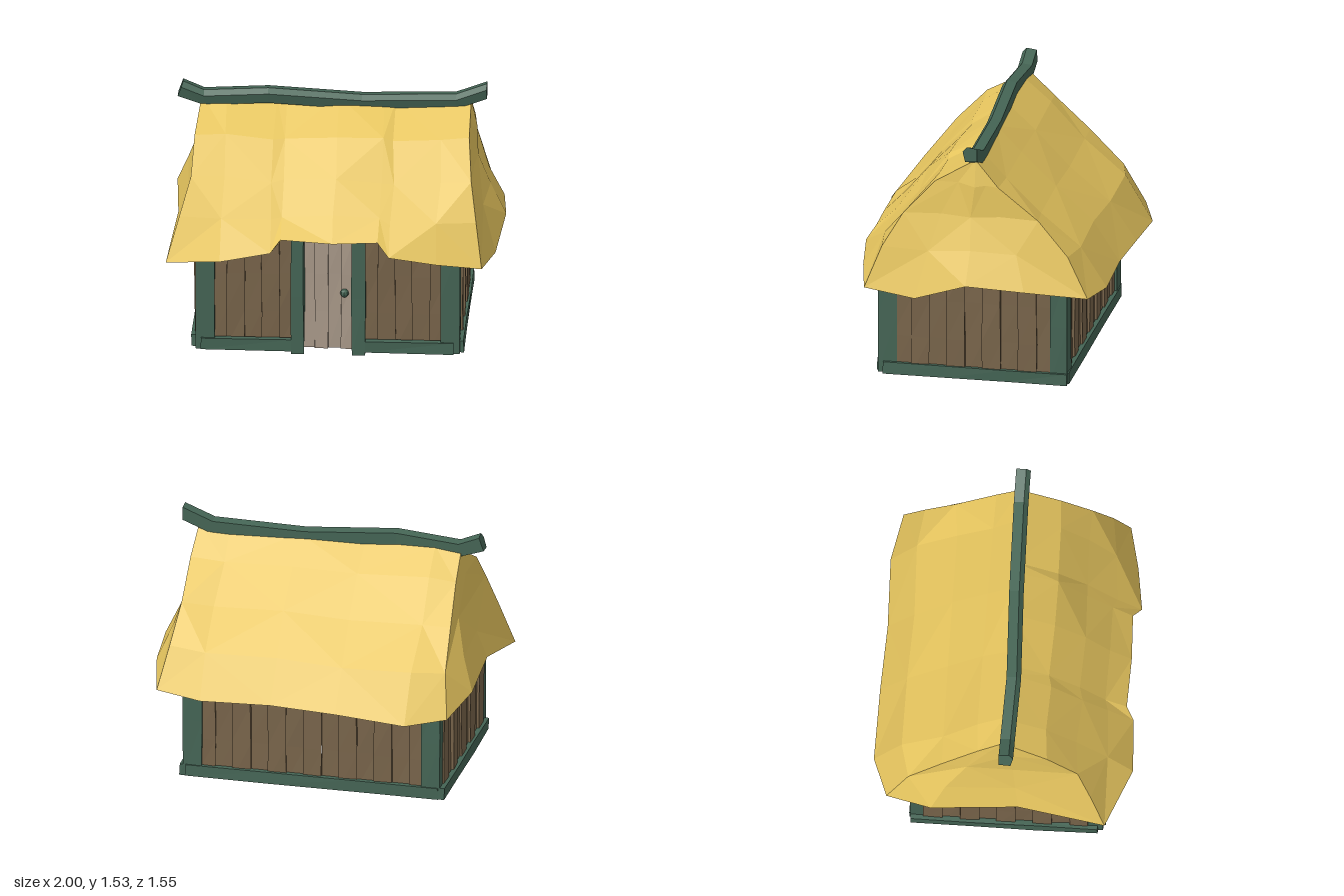
import * as THREE from 'three';

const mat = (name, color) => {
  const m = new THREE.MeshStandardMaterial({ color, flatShading: true, side: THREE.DoubleSide });
  m.name = name;
  return m;
};

// Repeatable noise in -1..1 from a position, so shared corners move together
const noise = (x, y, z, k) => {
  const s = Math.sin(x * 127.1 + y * 311.7 + z * 74.7 + k * 53.3) * 43758.5453;
  return (s - Math.floor(s)) * 2 - 1;
};

export function createModel() {
  const group = new THREE.Group();
  const thatch = mat('thatch', 0xe6c55e);
  const timber = mat('green timber', 0x456555);
  const wood = mat('brown planks', 0x79654b);
  const doorWood = mat('pale door wood', 0xab9b8b);

  const add = (name, geo, material, parent = group) => {
    const m = new THREE.Mesh(geo, material);
    m.name = name;
    parent.add(m);
    return m;
  };

  // Hand-hewn box given by its limits, with slightly uneven corners
  let seed = 0;
  const hewn = (name, material, [x0, x1], [y0, y1], [z0, z1], rough, parent, segs = [1, 1, 1]) => {
    const g = new THREE.BoxGeometry(x1 - x0, y1 - y0, z1 - z0, ...segs);
    g.translate((x0 + x1) / 2, (y0 + y1) / 2, (z0 + z1) / 2);
    const p = g.attributes.position;
    seed++;
    for (let i = 0; i < p.count; i++) {
      const [x, y, z] = [p.getX(i), p.getY(i), p.getZ(i)].map(v => Math.round(v * 1000) / 1000);
      const n = k => noise(x, y, z, seed * 3 + k) * rough;
      p.setXYZ(i, x + n(0), y + n(1) * 0.5, z + n(2));
    }
    g.computeVertexNormals();
    return add(name, g, material, parent);
  };

  // Row of upright planks between a and b, alternately proud and recessed
  const plankRow = (name, material, axis, a, b, count, depth, y0, y1) => {
    const row = new THREE.Group();
    row.name = name;
    group.add(row);
    const w = (b - a) / count;
    for (let i = 0; i < count; i++) {
      const along = [a + i * w - 0.002, a + (i + 1) * w + 0.002];
      const push = (i % 2 ? 0.007 : -0.007);
      const across = [depth - 0.014 + push, depth + 0.014 + push];
      const [xs, zs] = axis === 'x' ? [along, across] : [across, along];
      hewn('plank', material, xs, [y0, y1], zs, 0.004, row, [1, 3, 1]);
    }
  };

  // Walls
  plankRow('frontWallLeftPlanks', wood, 'x', 0.16, 0.68, 5, 0.55, 0.02, 0.74);
  plankRow('frontWallRightPlanks', wood, 'x', -0.74, -0.22, 5, 0.55, 0.02, 0.74);
  plankRow('backWallPlanks', wood, 'x', -0.74, 0.67, 13, -0.515, 0.02, 0.74);
  plankRow('leftWallPlanks', wood, 'z', -0.47, 0.51, 9, 0.742, 0.02, 0.74);
  plankRow('rightWallPlanks', wood, 'z', -0.47, 0.51, 9, -0.812, 0.02, 0.74);

  // Door with its knob
  plankRow('door', doorWood, 'x', -0.19, 0.125, 4, 0.535, 0.02, 0.74);
  const knob = add('doorKnob', new THREE.SphereGeometry(0.026, 8, 6), timber);
  knob.position.set(0.065, 0.385, 0.568);

  // Door posts and corner posts
  for (const x of [-0.215, 0.15])
    hewn('doorPost', timber, [x - 0.04, x + 0.04], [0.003, 0.74], [0.55, 0.617], 0.004, group, [1, 2, 1]);
  for (const xs of [[-0.825, -0.71], [0.64, 0.757]])
    for (const zs of [[0.487, 0.602], [-0.55, -0.45]])
      hewn('cornerPost', timber, xs, [0.02, 0.74], zs, 0.004, group, [1, 2, 1]);

  // Sills around the foot of the walls
  for (const xs of [[-0.79, -0.25], [0.18, 0.72]])
    hewn('frontSill', timber, xs, [0.02, 0.092], [0.575, 0.614], 0.003);
  hewn('backSill', timber, [-0.81, 0.74], [0.02, 0.092], [-0.556, -0.526], 0.003, group, [3, 1, 1]);
  for (const x of [-0.835, 0.762])
    hewn('sideSill', timber, [x - 0.015, x + 0.015], [0.02, 0.092], [-0.55, 0.57], 0.003, group, [1, 1, 3]);

  // Closed loops joined into a faceted skin
  const loft = (rings) => {
    const pos = [];
    for (let r = 0; r + 1 < rings.length; r++) {
      const n = rings[r].length;
      for (let i = 0; i < n; i++) {
        const j = (i + 1) % n;
        const [a, b, c, d] = [rings[r][i], rings[r][j], rings[r + 1][j], rings[r + 1][i]];
        if ((i + r) % 2) pos.push(...a, ...b, ...c, ...a, ...c, ...d);
        else pos.push(...a, ...b, ...d, ...b, ...c, ...d);
      }
    }
    const g = new THREE.BufferGeometry();
    g.setAttribute('position', new THREE.Float32BufferAttribute(pos, 3));
    g.computeVertexNormals();
    return g;
  };

  // Thatched roof: the wavy eave, from the front right corner round to the back
  const eave = [
    [-1, 0.58, 0.62], [-0.67, 0.655, 0.77], [-0.37, 0.71, 0.755], [-0.31, 0.78, 0.71],
    [0, 0.765, 0.72], [0.27, 0.775, 0.71], [0.34, 0.7, 0.76], [0.62, 0.645, 0.72],
    [0.89, 0.6, 0.66], [0.955, 0.575, 0.34], [1, 0.69, 0.02], [0.97, 0.665, -0.33],
    [0.88, 0.62, -0.7], [0.6, 0.6, -0.76], [0.17, 0.61, -0.75], [-0.23, 0.6, -0.77],
    [-0.66, 0.57, -0.78], [-0.9, 0.6, -0.69], [-0.99, 0.68, -0.42], [-0.955, 0.69, 0.1],
  ];
  const clamp = THREE.MathUtils.clamp;
  const soffit = eave.map(([x, , z]) => [clamp(x, -0.8, 0.73), 0.715, clamp(z, -0.5, 0.55)]);
  // Each level: height, front z, back z, straightness, overhang in x, roughness
  const levels = [
    [0.86, 0.61, 0.6, 0.35, 0.55, 0.008], [1.06, 0.44, 0.375, 1, 0.16, 0.014],
    [1.26, 0.255, 0.15, 1, 0.12, 0.012], [1.41, 0, 0, 1, 0, 0],
  ];
  const rings = levels.map(([h, front, back, straight, sx, rough], k) => eave.map(([x, y, z]) => {
    const rx = clamp(x, -0.82, 0.79);
    const ridgeWave = Math.sin(rx * 9 + 1) * 0.012;
    // Slopes straighten out above the wavy eave
    const full = Math.abs(z) > 0.6 ? z + (Math.sign(z) * 0.76 - z) * straight : z;
    const n = q => noise(x, y, z, k * 3 + q) * rough;
    return [
      rx + (x - rx) * sx + n(0),
      h + ridgeWave + (y - 0.66) * 0.3 * (1 - straight) + n(1),
      full / 0.76 * (z > 0 ? front : back) + n(2),
    ];
  }));
  add('thatchedRoof', loft([soffit, eave, ...rings]), thatch);

  // Ridge beam with upturned ends
  const path = [[-0.945, 1.468, 0.025], [-0.805, 1.415, 0.027], [-0.42, 1.443, 0.04],
    [0.14, 1.405, 0.02], [0.7, 1.418, 0.012], [0.885, 1.49, 0.015]];
  const section = [[-0.042, -0.045], [0.03, -0.048], [0.045, 0.015], [0.018, 0.045], [-0.042, 0.036]];
  const ridge = path.map(([x, y, z], i) =>
    section.map(([dz, dy]) => [x + (i === 0 ? dy * 0.35 : 0), y + dy, z + dz]));
  const cap = p => section.map(() => p);
  add('ridgeBeam', loft([cap(path[0]), ...ridge, cap(path[path.length - 1])]), timber);

  return group;
}
